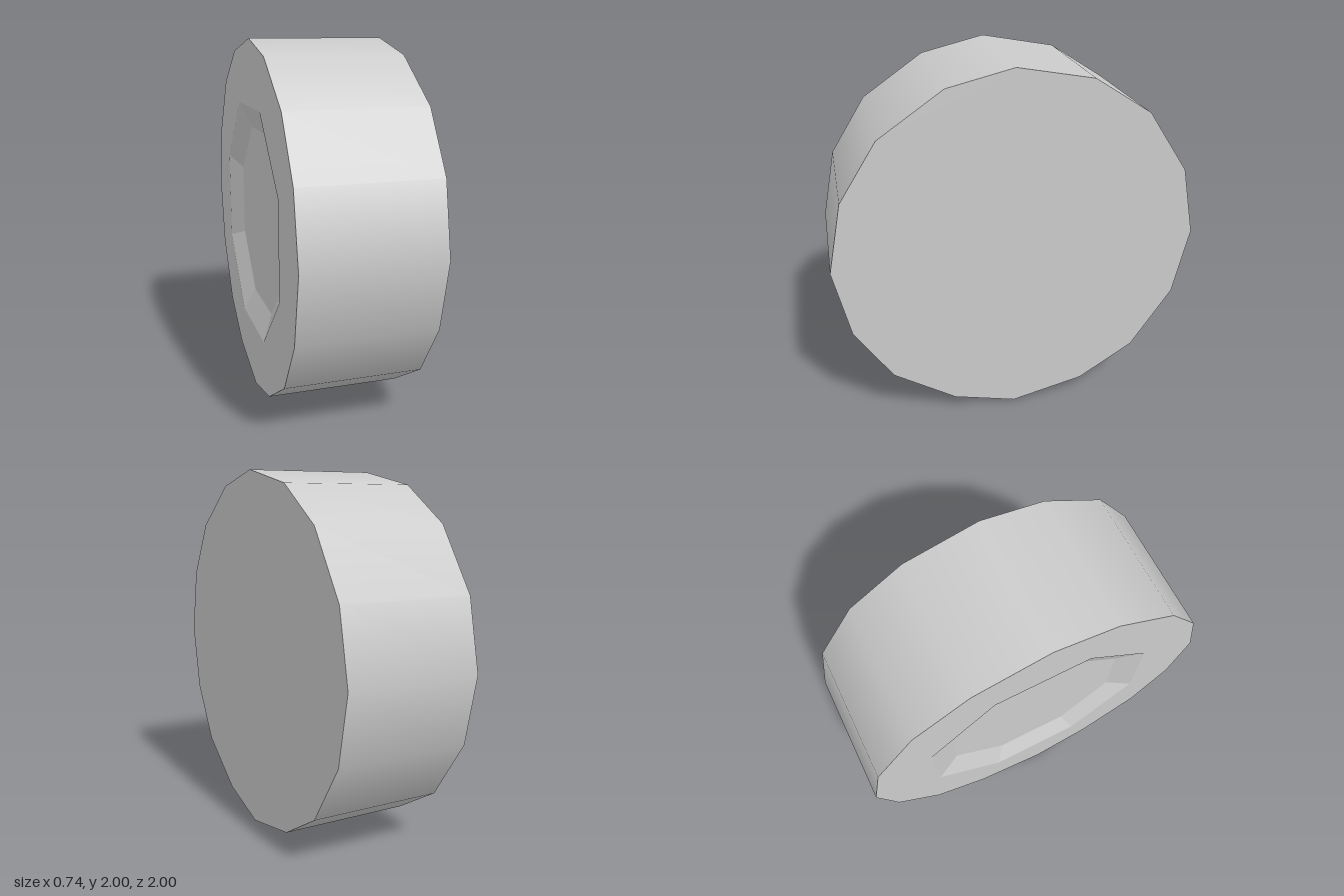
import * as THREE from 'three';

const HALF_WIDTH = 0.37;
const DEPTH = 0.06;            // how far the recess floor is sunk
const OUTER = 0.69, INNER = 0.54;

// Rim outline as [z, y] about the axle, from +z downwards
const RIM = [
  [1, 0], [0.92, -0.38], [0.72, -0.69], [0.38, -0.91],
  [0.03, -1], [-0.38, -0.91], [-0.69, -0.72], [-0.92, -0.38],
  [-1, 0], [-0.92, 0.38], [-0.69, 0.72], [-0.38, 0.92],
  [0.03, 1], [0.38, 0.92], [0.72, 0.69], [0.92, 0.38],
];

const rimShape = (sign) =>
  new THREE.Shape(RIM.map(([z, y]) => new THREE.Vector2(sign * z, y)));

const octagon = (r) => Array.from({ length: 8 }, (_, i) => {
  const a = Math.PI / 8 + i * Math.PI / 4;
  return new THREE.Vector2(r * Math.cos(a), r * Math.sin(a));
});

export function createModel() {
  const model = new THREE.Group();
  model.name = 'wheel';
  const smooth = new THREE.MeshStandardMaterial({ color: 0xcccccc });
  const flat = new THREE.MeshStandardMaterial({ color: 0xcccccc, flatShading: true });

  const add = (name, geometry, material) => {
    const mesh = new THREE.Mesh(geometry, material);
    mesh.name = name;
    mesh.position.y = 1;
    model.add(mesh);
  };

  // Tread: open cylinder on the x axis, its rings fitted to the rim outline
  const tread = new THREE.CylinderGeometry(1, 1, HALF_WIDTH * 2, RIM.length, 1, true);
  tread.rotateZ(-Math.PI / 2);
  const pos = tread.attributes.position;
  for (let i = 0; i < pos.count; i++) {
    const [z, y] = RIM[(i % (RIM.length + 1)) % RIM.length];
    pos.setY(i, y);
    pos.setZ(i, z);
  }
  add('tread', tread, smooth);

  // Plain face on the +x side
  const plain = new THREE.ShapeGeometry(rimShape(-1));
  plain.rotateY(Math.PI / 2).translate(HALF_WIDTH, 0, 0);
  add('plainFace', plain, flat);

  // Face with an octagonal opening on the -x side
  const ring = rimShape(1);
  ring.holes.push(new THREE.Path(octagon(OUTER)));
  const ringFace = new THREE.ShapeGeometry(ring);
  ringFace.rotateY(-Math.PI / 2).translate(-HALF_WIDTH, 0, 0);
  add('recessedFace', ringFace, flat);

  // Sloping wall of the recess, facing inwards
  const wall = new THREE.LatheGeometry([
    new THREE.Vector2(OUTER, HALF_WIDTH),
    new THREE.Vector2(INNER, HALF_WIDTH - DEPTH),
  ], 8, Math.PI / 8).toNonIndexed();
  wall.rotateZ(Math.PI / 2);
  wall.computeVertexNormals();
  add('recessWall', wall, flat);

  // Floor of the recess
  const floor = new THREE.ShapeGeometry(new THREE.Shape(octagon(INNER)));
  floor.rotateY(-Math.PI / 2).translate(-HALF_WIDTH + DEPTH, 0, 0);
  add('recessFloor', floor, flat);

  return model;
}
